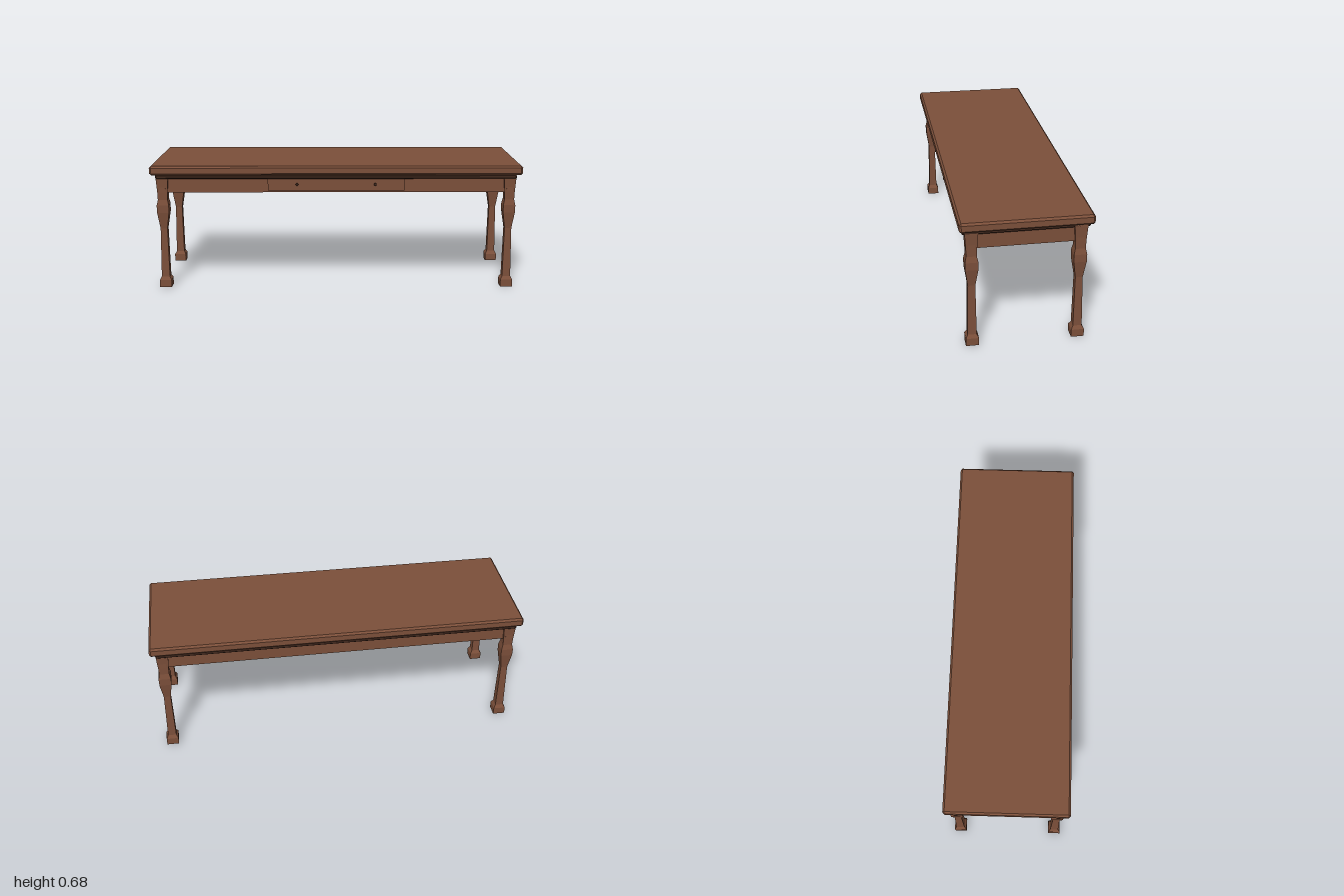
import * as THREE from 'three';
import { ConvexGeometry } from 'three/addons/geometries/ConvexGeometry.js';

const wood = new THREE.MeshStandardMaterial({ color: 0x7b4f3a });
wood.name = 'brown wood';
const darkWood = new THREE.MeshStandardMaterial({ color: 0x41291e });
darkWood.name = 'dark wood';

function add(group, name, geometry, material, x, y, z) {
  const mesh = new THREE.Mesh(geometry, material);
  mesh.name = name;
  mesh.position.set(x, y, z);
  group.add(mesh);
  return mesh;
}

// Box with every edge and corner cut at 45 degrees
function chamferedBox(w, h, d, c) {
  const points = [];
  for (const sx of [-1, 1]) for (const sy of [-1, 1]) for (const sz of [-1, 1]) {
    const x = w / 2, y = h / 2, z = d / 2;
    points.push(
      new THREE.Vector3(sx * x, sy * (y - c), sz * (z - c)),
      new THREE.Vector3(sx * (x - c), sy * y, sz * (z - c)),
      new THREE.Vector3(sx * (x - c), sy * (y - c), sz * z));
  }
  return new ConvexGeometry(points);
}

// Square shaped leg: half width at each height
function legGeometry() {
  const profile = [
    [0, 0], [0.0325, 0], [0.0325, 0.04], [0.0225, 0.058], [0.0185, 0.33],
    [0.032, 0.42], [0.0325, 0.46], [0.026, 0.49], [0.027, 0.53],
    [0.0325, 0.61], [0.0325, 0.628], [0, 0.628],
  ].map(([half, y]) => new THREE.Vector2(half * Math.SQRT2, y));
  const geometry = new THREE.LatheGeometry(profile, 4, Math.PI / 4).toNonIndexed();
  geometry.computeVertexNormals();
  return geometry;
}

export function createModel() {
  const table = new THREE.Group();
  table.name = 'table';

  // Top and the dark moulding under it
  add(table, 'tableTop', chamferedBox(2, 0.05, 0.652, 0.01), wood, 0, 0.655, 0);
  add(table, 'underTopMoulding', chamferedBox(1.94, 0.022, 0.62, 0.005), darkWood, 0, 0.619, 0);

  // Legs
  const leg = legGeometry();
  for (const x of [-0.9375, 0.9375]) for (const z of [-0.265, 0.265]) {
    add(table, 'leg', leg, wood, x, 0, z);
  }

  // Aprons, whose ends show through the narrow necks of the legs
  const longApron = new THREE.BoxGeometry(1.932, 0.082, 0.034);
  const endApron = new THREE.BoxGeometry(0.034, 0.082, 0.588);
  for (const s of [-1, 1]) {
    add(table, 'longApron', longApron, wood, 0, 0.571, s * 0.265);
    add(table, 'endApron', endApron, wood, s * 0.9375, 0.571, 0);
  }

  // Drawer front and its two knobs
  add(table, 'drawerFront', new THREE.BoxGeometry(0.736, 0.066, 0.017), wood, 0, 0.576, 0.2885);
  const knob = new THREE.SphereGeometry(0.0075, 10, 8);
  knob.scale(1, 1, 0.55);
  for (const x of [-0.21, 0.21]) add(table, 'drawerKnob', knob, darkWood, x, 0.578, 0.3095);

  return table;
}
